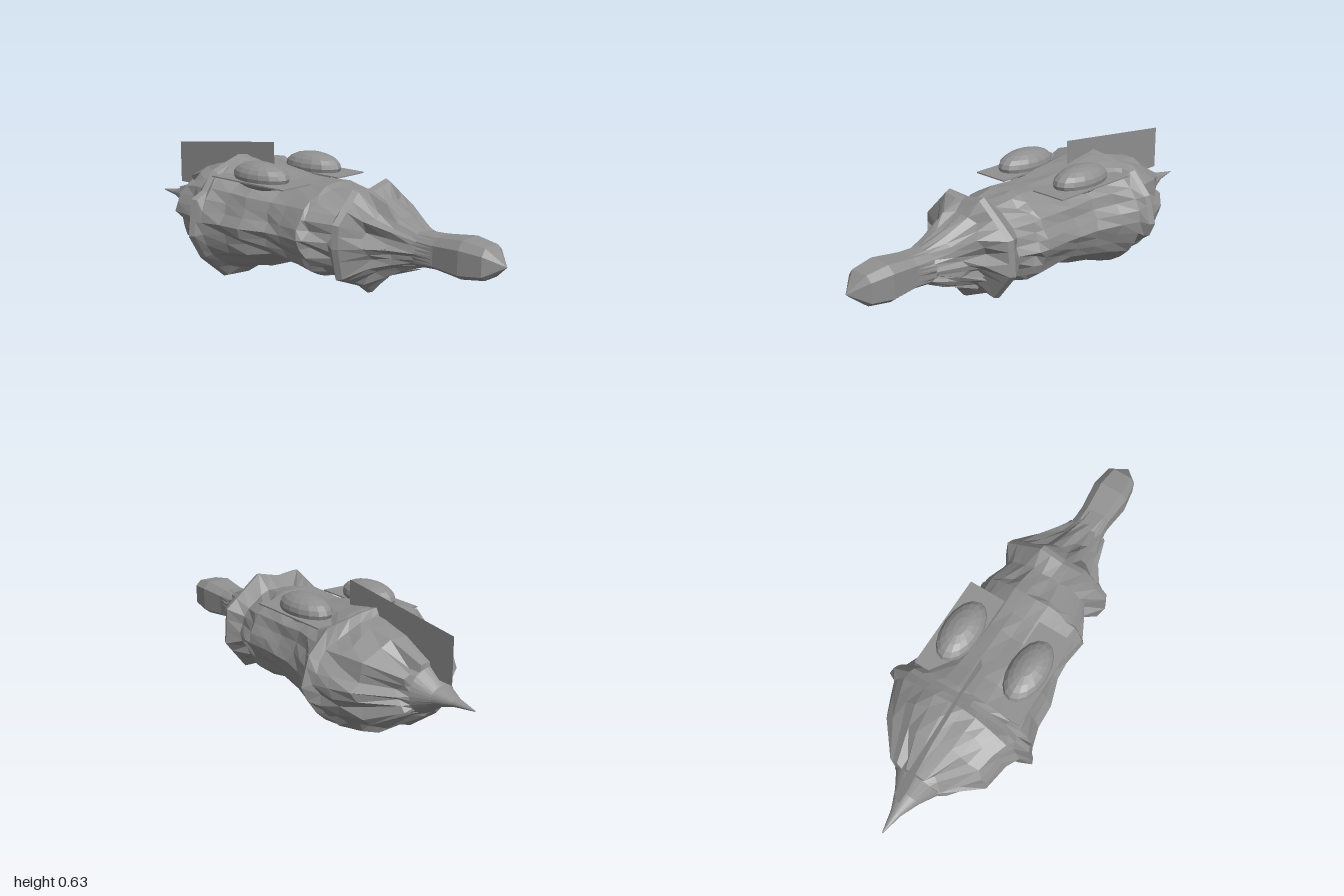
import * as THREE from 'three';

const hull = new THREE.MeshStandardMaterial({ color: 0x909090, side: THREE.DoubleSide });
hull.name = 'hull grey';
hull.flatShading = true;

const CY = 0.3, CZ = 0.005, N = 30;

// Small seeded generator for the rugged plating
let seed = 7;
const rnd = () => (seed = (seed * 16807) % 2147483647) / 2147483647;

// Oval ring from its extents: top and bottom y, back and front half widths, roughness.
// Rough rings are dented on the flanks more than on the crown and keel.
function oval(x, top, bottom, back, front, rough = 0) {
  const pts = [];
  for (let j = 0; j < N; j++) {
    const a = (j / N) * Math.PI * 2, c = Math.cos(a), s = Math.sin(a);
    const k = 1 - rough * (0.35 + 0.65 * Math.abs(c)) * (j % 3 === 0 ? 0 : rnd());
    pts.push([x + (rnd() - 0.5) * rough * 0.2, CY + k * s * (s > 0 ? top - CY : CY - bottom), CZ + k * c * (c > 0 ? front : back)]);
  }
  return pts;
}

// Irregular ring: a polygon of (z, y) corners sampled by angle, with the nearest samples snapped to the corners
function collar(x, poly, scale = 1) {
  const pts = [];
  for (let j = 0; j < N; j++) {
    const a = (j / N) * Math.PI * 2, c = Math.cos(a), s = Math.sin(a);
    let r = 0;
    poly.forEach(([z0, y0], i) => {
      const [z1, y1] = poly[(i + 1) % poly.length];
      const pz = z0 - CZ, py = y0 - CY, ez = z1 - z0, ey = y1 - y0;
      const den = c * ey - s * ez;
      if (Math.abs(den) < 1e-9) return;
      const t = (pz * ey - py * ez) / den, u = (pz * s - py * c) / den;
      if (u >= -1e-6 && u <= 1 + 1e-6 && t > r) r = t;
    });
    pts.push([x, CY + r * s * scale, CZ + r * c * scale]);
  }
  for (const [z, y] of poly) {
    const j = Math.round((Math.atan2(y - CY, z - CZ) / (Math.PI * 2)) * N);
    pts[(j + N) % N] = [x, CY + (y - CY) * scale, CZ + (z - CZ) * scale];
  }
  return pts;
}

// Skin a row of rings
function loft(name, rings) {
  const idx = [];
  for (let i = 0; i < rings.length - 1; i++)
    for (let j = 0; j < N; j++) {
      const k = (j + 1) % N, a = i * N + j, d = i * N + k, b = a + N, e = d + N;
      idx.push(a, b, d, b, e, d);
    }
  const g = new THREE.BufferGeometry();
  g.setAttribute('position', new THREE.Float32BufferAttribute(rings.flat(2), 3));
  g.setIndex(idx);
  const flat = g.toNonIndexed();
  flat.computeVertexNormals();
  const m = new THREE.Mesh(flat, hull);
  m.name = name;
  return m;
}

export function createModel() {
  const model = new THREE.Group();
  model.name = 'rockyShip';

  const bigCollar = [[0.30, 0.125], [0.365, 0.235], [0.345, 0.40], [0.28, 0.43], [0.22, 0.51], [0.06, 0.56],
    [-0.07, 0.545], [-0.24, 0.51], [-0.33, 0.415], [-0.365, 0.29], [-0.31, 0.17], [-0.255, 0.17],
    [-0.18, 0.085], [-0.06, 0.03], [0.03, 0.0], [0.16, 0.01]];
  const frontCollar = [[0.27, 0.30], [0.265, 0.40], [0.14, 0.525], [0.04, 0.512], [-0.07, 0.538], [-0.24, 0.40],
    [-0.25, 0.24], [-0.15, 0.115], [-0.10, 0.125], [0.04, 0.065], [0.10, 0.11], [0.24, 0.165]];
  const headSection = [[0.088, 0.25], [0.088, 0.35], [0.06, 0.385], [-0.045, 0.385], [-0.078, 0.355],
    [-0.075, 0.25], [-0.045, 0.228], [0.055, 0.228]];

  // Tapered stern with its spike
  model.add(loft('stern', [
    oval(-1, 0.302, 0.298, 0.002, 0.002),
    oval(-0.9, 0.318, 0.285, 0.025, 0.025),
    oval(-0.82, 0.345, 0.26, 0.06, 0.06),
    oval(-0.745, 0.40, 0.21, 0.105, 0.105),
    oval(-0.72, 0.42, 0.19, 0.15, 0.15, 0.25),
    oval(-0.6, 0.495, 0.10, 0.265, 0.26, 0.15),
    oval(-0.5, 0.515, 0.085, 0.305, 0.28, 0.12),
    oval(-0.435, 0.525, 0.07, 0.33, 0.31, 0.08),
    collar(-0.41, bigCollar),
  ]));

  // Barrel midsection between the two collars
  model.add(loft('midsection', [
    collar(-0.41, bigCollar),
    collar(-0.385, bigCollar, 0.97),
    oval(-0.36, 0.545, 0.035, 0.325, 0.33),
    oval(-0.27, 0.53, 0.065, 0.295, 0.305, 0.08),
    oval(-0.16, 0.52, 0.085, 0.26, 0.30, 0.12),
    oval(-0.05, 0.505, 0.125, 0.255, 0.26, 0.1),
    oval(0.04, 0.505, 0.115, 0.25, 0.255, 0.08),
    oval(0.15, 0.51, 0.10, 0.255, 0.27, 0.06),
    oval(0.18, 0.50, 0.11, 0.25, 0.255, 0.2),
    oval(0.28, 0.485, 0.12, 0.215, 0.205, 0.12),
    collar(0.345, frontCollar),
  ]));

  // Front collar falling to the neck
  model.add(loft('frontCollar', [
    collar(0.345, frontCollar),
    collar(0.37, frontCollar, 0.96),
    oval(0.43, 0.475, 0.15, 0.185, 0.18, 0.3),
    oval(0.52, 0.42, 0.19, 0.135, 0.13, 0.28),
    oval(0.62, 0.378, 0.225, 0.09, 0.095, 0.15),
  ]));

  // Neck and square-sided head
  model.add(loft('head', [
    oval(0.58, 0.38, 0.22, 0.085, 0.09, 0.1),
    collar(0.7, headSection, 0.83),
    collar(0.83, headSection),
    collar(0.93, headSection, 0.82),
    oval(1, 0.302, 0.298, 0.002, 0.002),
  ]));

  // Jagged shards around the neck, pointing forward
  const shards = new THREE.Group();
  shards.name = 'neckShards';
  for (let i = 0; i < 9; i++) {
    const a = (i / 9) * Math.PI * 2, r = 0.1 + 0.02 * rnd();
    const shard = new THREE.Mesh(new THREE.ConeGeometry(0.03, 0.18 + 0.08 * rnd(), 3), hull);
    shard.name = 'shard';
    shard.position.set(0.5, CY + r * Math.sin(a), CZ + r * Math.cos(a));
    const dir = new THREE.Vector3(1, -0.25 * Math.sin(a), -0.25 * Math.cos(a)).normalize();
    shard.quaternion.setFromUnitVectors(new THREE.Vector3(0, 1, 0), dir);
    shards.add(shard);
  }
  model.add(shards);

  // Upright tail fin
  const finShape = new THREE.Shape([[-0.87, 0.36], [-0.235, 0.36], [-0.235, 0.63], [-0.87, 0.555]]
    .map(([x, y]) => new THREE.Vector2(x, y)));
  const fin = new THREE.Mesh(new THREE.ShapeGeometry(finShape), hull);
  fin.name = 'tailFin';
  fin.position.z = CZ;
  model.add(fin);

  // Pods on thin side plates
  for (const side of [-1, 1]) {
    const pod = new THREE.Mesh(new THREE.SphereGeometry(1, 16, 10), hull);
    pod.name = side > 0 ? 'leftPod' : 'rightPod';
    pod.scale.set(0.15, 0.062, 0.084);
    pod.position.set(-0.145, 0.516, 0.01 + side * 0.165);
    model.add(pod);

    const plate = new THREE.Mesh(new THREE.BoxGeometry(0.43, 0.006, 0.17), hull);
    plate.name = side > 0 ? 'leftPlate' : 'rightPlate';
    plate.position.set(-0.145, 0.497, 0.008 + side * 0.172);
    model.add(plate);
  }
  return model;
}
